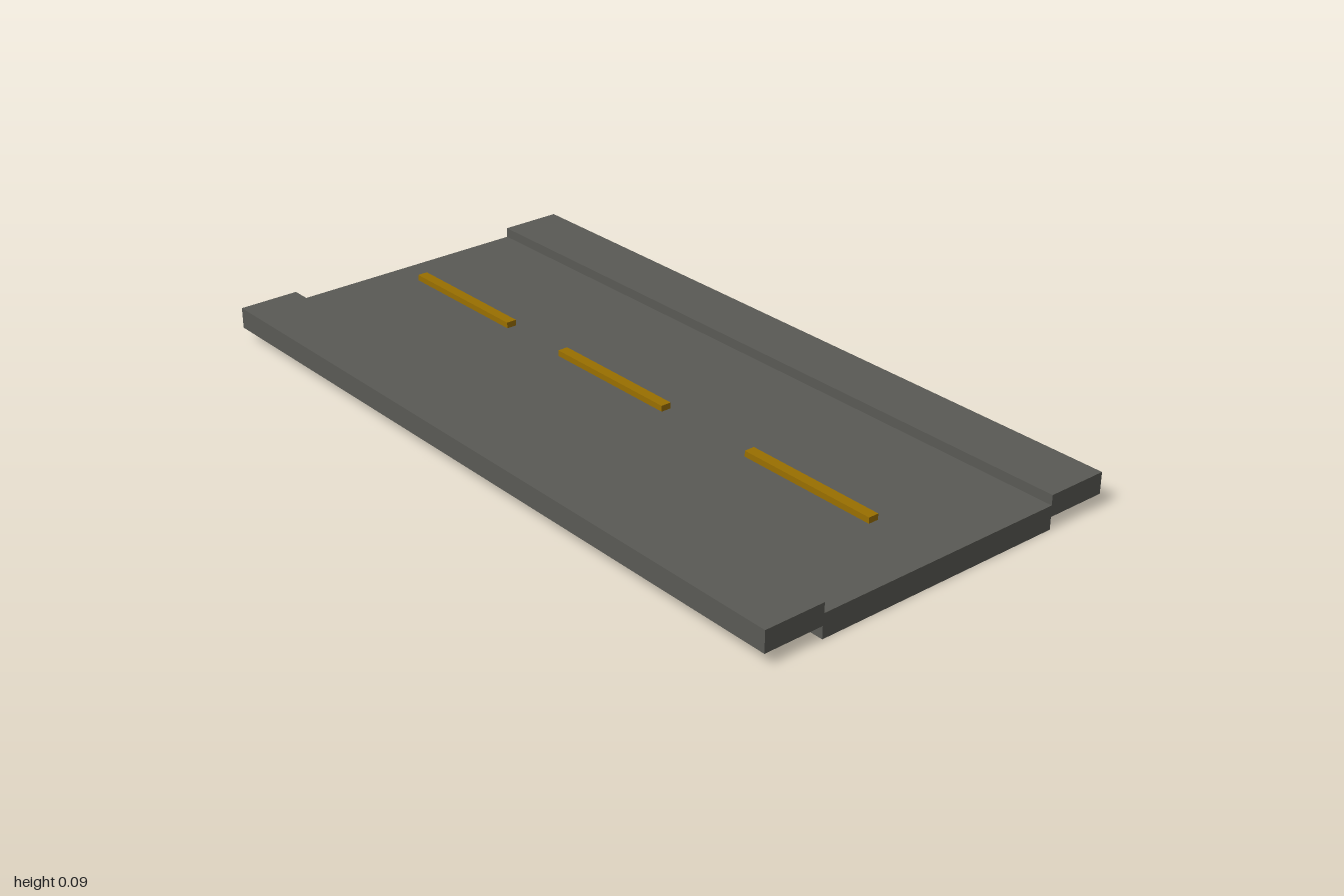
import * as THREE from 'three';

export function createModel() {
  const group = new THREE.Group();
  const asphalt = new THREE.MeshStandardMaterial({ color: 0x5a5a55 });
  asphalt.name = 'asphalt grey';
  const paint = new THREE.MeshStandardMaterial({ color: 0x9a7000 });
  paint.name = 'lane amber';

  // Box given by its minimum and maximum corners
  function block(name, material, [x0, y0, z0], [x1, y1, z1]) {
    const mesh = new THREE.Mesh(new THREE.BoxGeometry(x1 - x0, y1 - y0, z1 - z0), material);
    mesh.position.set((x0 + x1) / 2, (y0 + y1) / 2, (z0 + z1) / 2);
    mesh.name = name;
    group.add(mesh);
  }

  // Road slab
  block('roadSlab', asphalt, [-0.35, 0, -1], [0.345, 0.0615, 1]);

  // Raised pavements along both sides
  block('rightPavement', asphalt, [-0.51, 0.032, -1], [-0.347, 0.0875, 1]);
  block('leftPavement', asphalt, [0.344, 0.032, -1], [0.51, 0.0875, 1]);

  // Dashed centre line
  [-0.707, -0.093, 0.601].forEach((z, i) => {
    block(`laneDash${i + 1}`, paint, [-0.022, 0.058, z - 0.2], [0.006, 0.077, z + 0.2]);
  });

  return group;
}
